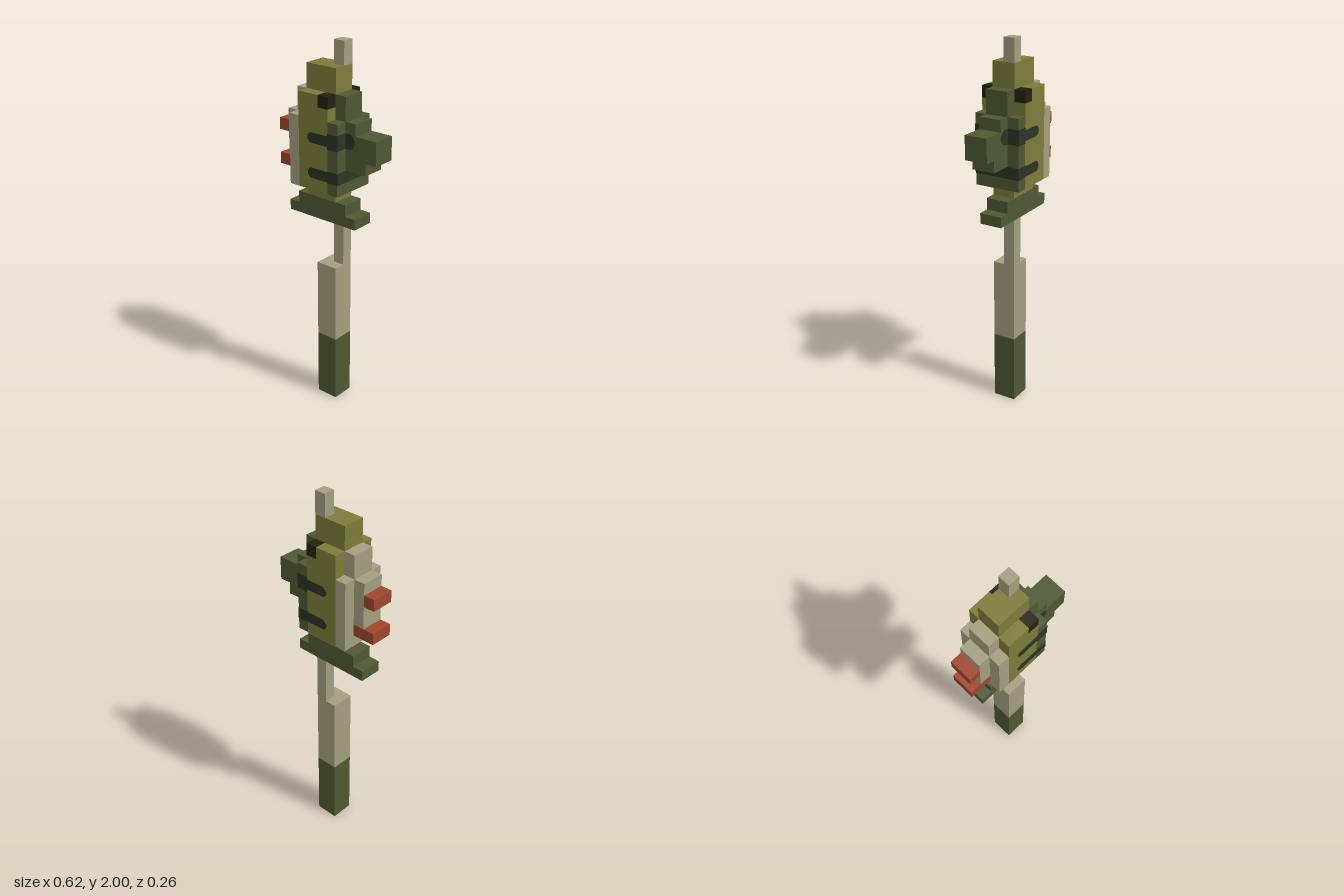
import * as THREE from 'three';

const mat = (name, color) => {
  const m = new THREE.MeshStandardMaterial({ color });
  m.name = name;
  return m;
};

export function createModel() {
  const group = new THREE.Group();
  const tan = mat('tan', 0xa49f80);
  const olive = mat('olive', 0x7c7c3a);
  const green = mat('darkGreen', 0x505833);
  const red = mat('red', 0xa0452d);
  const black = mat('eyeBlack', 0x23220f);
  const stripe = mat('stripeGreen', 0x2c3324);

  // Box given by its limits in x, y and z
  const box = (name, m, x0, x1, y0, y1, z0, z1) => {
    const mesh = new THREE.Mesh(new THREE.BoxGeometry(x1 - x0, y1 - y0, z1 - z0), m);
    mesh.position.set((x0 + x1) / 2, (y0 + y1) / 2, (z0 + z1) / 2);
    mesh.name = name;
    group.add(mesh);
  };
  const u = 0.0625;

  // Handle
  box('handleGrip', green, -u, u, 0, 0.378, -u, u);
  box('handleShaft', tan, -u, u, 0.378, 0.8125, -u, u);
  box('neckRod', tan, 0, u, 0.8125, 1.07, -u, 0);
  box('topRod', tan, 0, u, 1.88, 2, -u, 0);

  // Stepped collar under the head
  box('collarBase', green, -4 * u, 3 * u, 1.07, 1.127, -u, u);
  box('collarStep', green, -3 * u, 2 * u, 1.127, 1.19, -u, u);

  // Head core and its stepped front and back plates
  box('headCore', olive, -2 * u, u, 1.19, 1.88, -u, u);
  box('facePlate', green, u, 2 * u, 1.252, 1.752, -u, u);
  box('snoutBase', green, 2 * u, 3 * u, 1.377, 1.627, -u, u);
  box('snoutTip', green, 3 * u, 5 * u, 1.44, 1.565, -u, u);
  box('snoutJaw', green, 3 * u, 4 * u, 1.377, 1.44, -u, u);
  box('backPlate', tan, -3 * u, -2 * u, 1.252, 1.752, -u, u);
  box('backRidge', tan, -4 * u, -3 * u, 1.377, 1.627, -u, u);

  // Red prongs on the back
  box('upperProng', red, -5 * u, -4 * u, 1.502, 1.565, -u, u);
  box('lowerProng', red, -5 * u, -3 * u, 1.315, 1.377, -u, u);

  // Stripe shape with a rounded left end, squared at the right
  const band = (x0, x1, y, r, endR) => {
    const s = new THREE.Shape();
    s.moveTo(u, y - r);
    s.lineTo(u, y - endR);
    s.lineTo(x1, y - endR);
    s.lineTo(x1, y + endR);
    s.lineTo(u, y + endR);
    s.lineTo(u, y + r);
    s.absarc(x0 + r, y, r, Math.PI / 2, Math.PI * 1.5, false);
    return s;
  };
  const disc = new THREE.Shape();
  disc.moveTo(2 * u, 1.492);
  disc.lineTo(0.145, 1.492);
  disc.absarc(0.145, 1.532, 0.04, -Math.PI / 2, Math.PI / 2, false);
  disc.lineTo(2 * u, 1.572);

  const t = 0.003;
  const paint = (name, shape, z, side) => {
    const geo = new THREE.ExtrudeGeometry(shape, { depth: t, bevelEnabled: false, curveSegments: 6 });
    const mesh = new THREE.Mesh(geo, stripe);
    mesh.position.z = side > 0 ? z : -z - t;
    mesh.name = name;
    group.add(mesh);
  };

  // Both flanks: cheeks, eye, and painted stripes
  for (const side of [1, -1]) {
    const flank = (name, m, x0, x1, y0, y1) =>
      box(name, m, x0, x1, y0, y1, side > 0 ? u : -2 * u, side > 0 ? 2 * u : -u);
    flank('cheek', olive, -2 * u, 0, 1.252, 1.752);
    flank('cheekFront', olive, 0, u, 1.252, 1.69);
    flank('eye', black, 0, u, 1.69, 1.752);
    flank('faceSide', green, u, 2 * u, 1.252, 1.627);
    flank('backSide', tan, -3 * u, -2 * u, 1.252, 1.627);

    paint('upperStripe', band(-0.066, 2 * u, 1.53, 0.027, 0.04), 2 * u, side);
    paint('lowerStripe', band(-0.066, 2 * u, 1.345, 0.027, 0.031), 2 * u, side);
    paint('stripeEnd', disc, u, side);
    // Upper stripe wrapping round the cheek corner
    box('stripeWrap', stripe, 2 * u, 2 * u + t, 1.492, 1.572,
      side > 0 ? u : -2 * u, side > 0 ? 2 * u : -u);
  }
  // Lower stripe across the face
  box('lowerStripeFace', stripe, 2 * u, 2 * u + t, 1.314, 1.376, -2 * u, 2 * u);

  return group;
}
